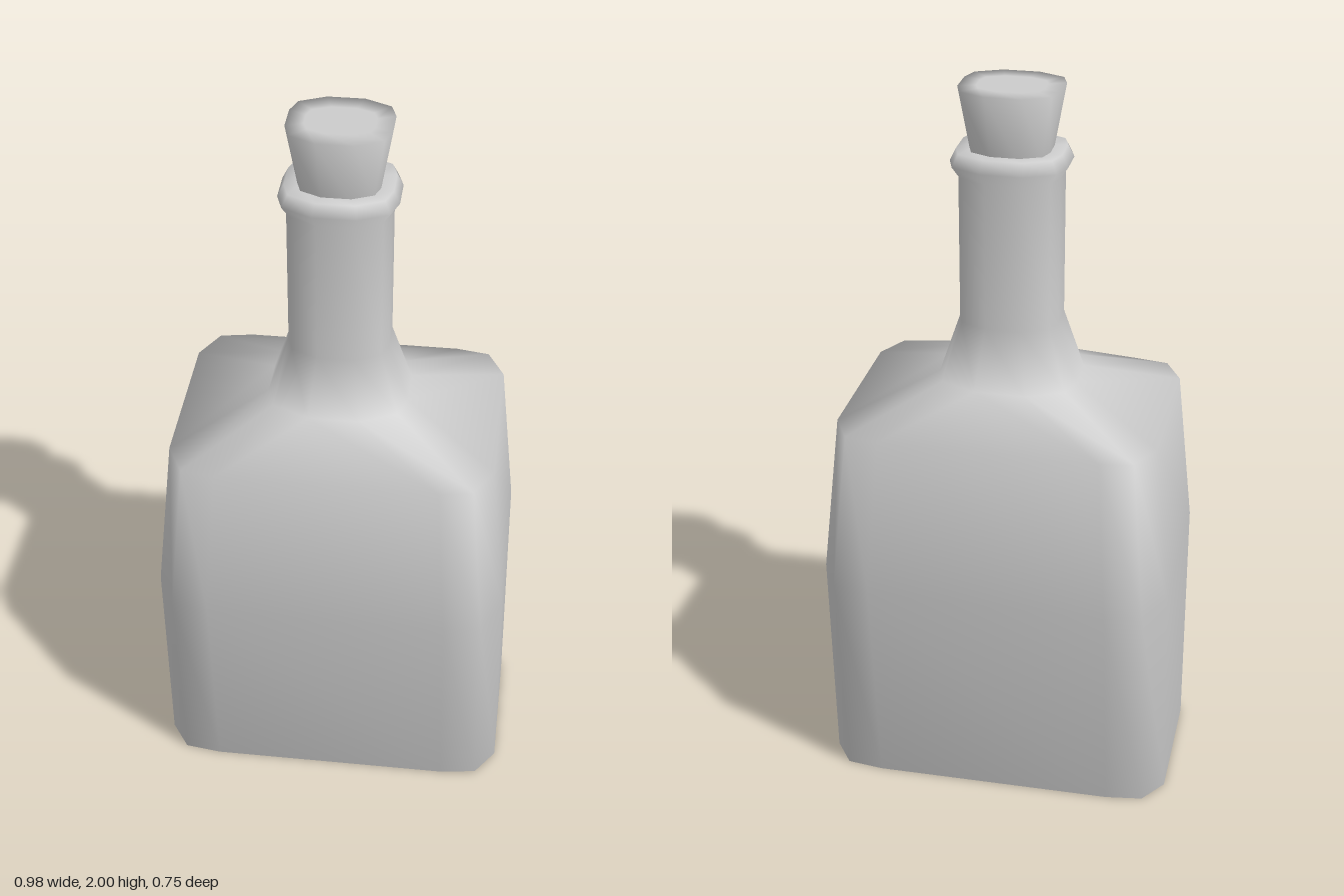
import * as THREE from 'three';

// Corner shape as fractions of the half width and half depth: [ax, az, cx, cz]
const BODY = [0.68, 0.67, 0.89, 0.95];
const NECK = [0.36, 0.33, 0.88, 0.73];

// Twelve-point ring: a rectangle whose corners are cut twice
function ring([y, hx, hz, [ax, az, cx, cz]]) {
  const corner = [[1, az], [cx, cz], [ax, 1]];
  const pts = [];
  for (const [sx, sz] of [[1, 1], [-1, 1], [-1, -1], [1, -1]]) {
    const c = sx * sz > 0 ? corner : [...corner].reverse();
    for (const [u, v] of c) pts.push([sx * u * hx, y, sz * v * hz]);
  }
  return pts;
}

// Smooth skin through rings [y, half width, half depth, corner], bottom to top;
// a ring of zero width closes an end
function loft(name, sections, material) {
  const n = 12, index = [];
  const position = sections.flatMap(ring).flat();
  for (let k = 0; k < sections.length - 1; k++) {
    for (let i = 0; i < n; i++) {
      const a = k * n + i, b = k * n + (i + 1) % n;
      const d = a + n, c = b + n;
      if (sections[k + 1][1] > 0) index.push(a, d, c);
      if (sections[k][1] > 0) index.push(a, c, b);
    }
  }
  const geometry = new THREE.BufferGeometry();
  geometry.setAttribute('position', new THREE.Float32BufferAttribute(position, 3));
  geometry.setIndex(index);
  geometry.computeVertexNormals();
  const mesh = new THREE.Mesh(geometry, material);
  mesh.name = name;
  return mesh;
}

export function createModel() {
  const group = new THREE.Group();
  group.name = 'bottle';
  const grey = new THREE.MeshStandardMaterial({ color: 0xcccccc });

  // Glass: shallow sloped underside, bulging body, shoulder, neck and lip
  group.add(loft('glassBottle', [
    [0.015, 0, 0, BODY],
    [0.015, 0.445, 0.24, BODY],
    [0, 0.488, 0.282, BODY],
    [0.66, 0.481, 0.373, BODY],
    [1.105, 0.437, 0.333, BODY],
    [1.2, 0.19, 0.17, NECK],
    [1.365, 0.135, 0.125, NECK],
    [1.77, 0.135, 0.125, NECK],
    [1.802, 0.156, 0.142, NECK],
    [1.835, 0.14, 0.127, NECK],
    [1.835, 0.1, 0.09, NECK],
  ], grey));

  // Tapered cork, its base hidden inside the lip
  group.add(loft('cork', [
    [1.82, 0.104, 0.093, NECK],
    [2, 0.135, 0.123, NECK],
    [2, 0.09, 0.07, NECK],
    [2, 0, 0, NECK],
  ], grey));

  return group;
}
